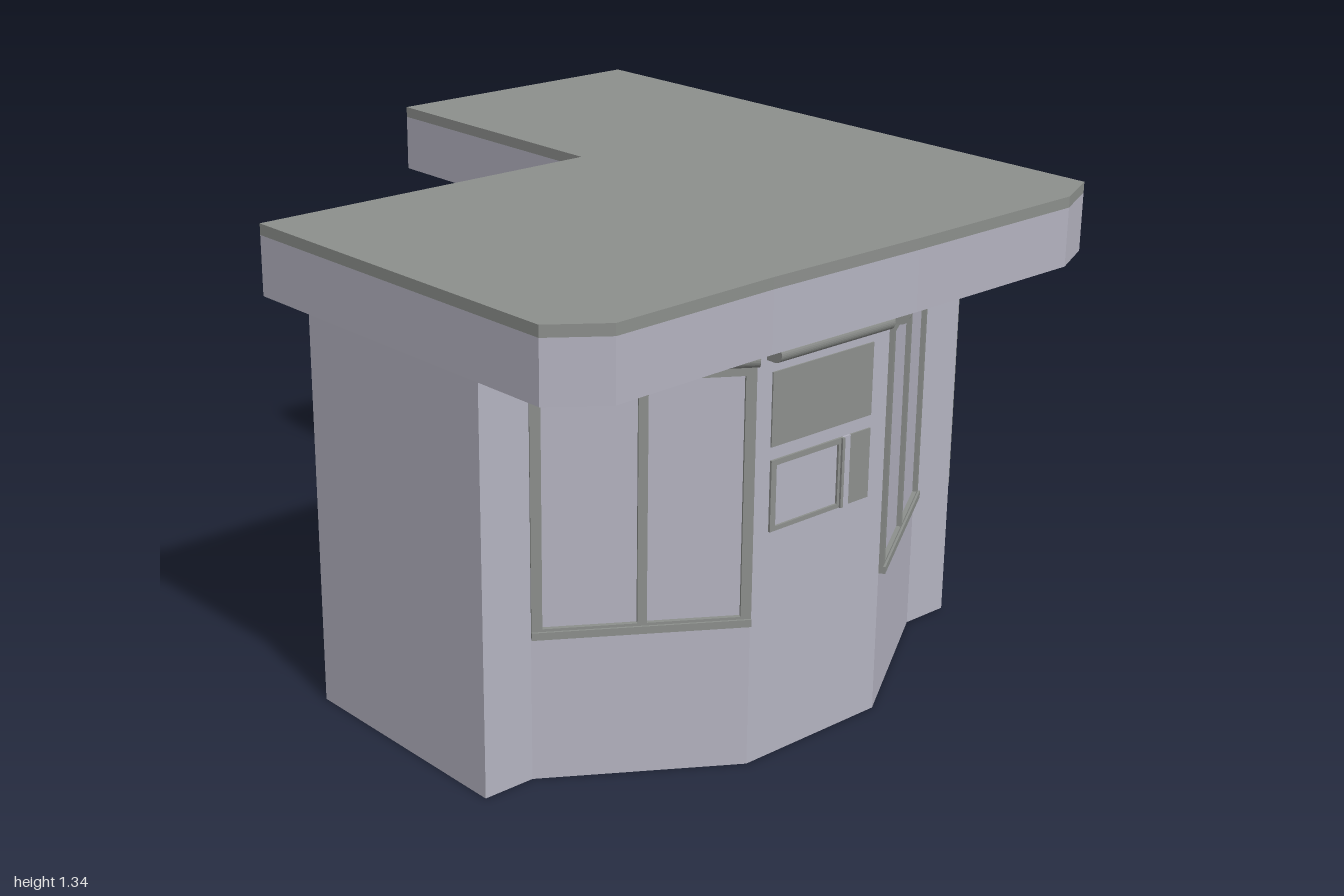
import * as THREE from 'three';

const wallMat = new THREE.MeshStandardMaterial({ color: 0xb4b3c0 });
const trimMat = new THREE.MeshStandardMaterial({ color: 0x8c8f8c });

// Floor plans as [x, z] corners
const BODY = [[-0.85, -0.13], [-0.85, 0.57], [-0.7, 0.57], [-0.235, 0.865], [0.235, 0.865],
  [0.7, 0.57], [0.85, 0.57], [0.85, -0.91], [0.235, -0.91], [0.235, -0.13]];
const ROOF = [[-0.95, -0.18], [-0.935, 0.9], [-0.8, 1], [-0.3, 0.98], [0.2, 0.98], [0.79, 0.97],
  [0.94, 0.9], [0.95, -1], [0.1, -1], [0.1, -0.18]];

function mesh(name, geometry, material, parent) {
  const m = new THREE.Mesh(geometry, material);
  m.name = name;
  parent.add(m);
  return m;
}

// Upright slab over a floor plan
function slab(name, plan, y0, y1, material, parent) {
  const shape = new THREE.Shape(plan.map(([x, z]) => new THREE.Vector2(x, -z)));
  const geo = new THREE.ExtrudeGeometry(shape, { depth: y1 - y0, bevelEnabled: false });
  geo.rotateX(-Math.PI / 2).translate(0, y0, 0);
  return mesh(name, geo, material, parent);
}

function rect(Type, x0, y0, x1, y1) {
  return new Type([[x0, y0], [x1, y0], [x1, y1], [x0, y1]].map(([x, y]) => new THREE.Vector2(x, y)));
}

// Flat frame on the local z = 0 wall plane; each hole is [x0, y0, x1, y1]
function frame(name, outer, holes, depth, parent) {
  const shape = rect(THREE.Shape, ...outer);
  shape.holes = holes.map((h) => rect(THREE.Path, ...h));
  return mesh(name, new THREE.ExtrudeGeometry(shape, { depth, bevelEnabled: false }), trimMat, parent);
}

function panel(name, x0, y0, x1, y1, depth, material, parent) {
  const m = mesh(name, new THREE.BoxGeometry(x1 - x0, y1 - y0, depth), material, parent);
  m.position.set((x0 + x1) / 2, (y0 + y1) / 2, depth / 2);
  return m;
}

// Two-pane window frame
function twoPane(name, width, y0, y1, border, mullion, depth, parent) {
  const w = width / 2, m = mullion / 2;
  return frame(name, [-w, y0, w, y1], [
    [-w + border, y0 + border, -m, y1 - border],
    [m, y0 + border, w - border, y1 - border]], depth, parent);
}

// Rolled shutter housing with a rounded front
function shutter(width, parent) {
  const s = new THREE.Shape();
  s.moveTo(0, 1.13);
  s.lineTo(0, 1.085);
  s.lineTo(0.025, 1.085);
  s.absarc(0.027, 1.1075, 0.0225, -Math.PI / 2, Math.PI / 2, false);
  s.closePath();
  const geo = new THREE.ExtrudeGeometry(s, { depth: width, bevelEnabled: false, curveSegments: 8 });
  geo.rotateY(-Math.PI / 2).translate(width / 2, 0, 0);
  return mesh('shutterHousing', geo, trimMat, parent);
}

// Group whose local x runs along a wall and local z points outward
function wallGroup(name, x, z, angle, parent) {
  const g = new THREE.Group();
  g.name = name;
  g.position.set(x, 0, z);
  g.rotation.y = angle;
  parent.add(g);
  return g;
}

export function createModel() {
  const model = new THREE.Group();
  model.name = 'cornerKiosk';

  // Walls and flat roof
  slab('walls', BODY, 0, 1.15, wallMat, model);
  slab('fascia', ROOF, 1.15, 1.31, wallMat, model);
  slab('roofCap', ROOF, 1.31, 1.34, trimMat, model);

  // Angled bay windows, one on each side of the counter
  const bayLength = Math.hypot(0.465, 0.295);
  const bayAngle = Math.atan2(0.295, 0.465);
  for (const side of [-1, 1]) {
    const bay = wallGroup(side > 0 ? 'leftBayWindow' : 'rightBayWindow',
      side * 0.4675, 0.7175, side * bayAngle, model);
    twoPane('windowFrame', bayLength, 0.395, 1.085, 0.027, 0.024, 0.012, bay);
    panel('windowSill', -bayLength / 2, 0.395, bayLength / 2, 0.415, 0.018, trimMat, bay);
    shutter(bayLength, bay);
  }

  // Serving counter in the middle of the front
  const counter = wallGroup('servingCounter', 0, 0.865, 0, model);
  shutter(0.4, counter);
  panel('upperPanel', -0.18, 0.855, 0.175, 1.05, 0.004, trimMat, counter);
  frame('hatchFrame', [-0.18, 0.63, 0.075, 0.82], [[-0.162, 0.642, 0.058, 0.805]], 0.006, counter);
  panel('hatchEdge', 0.066, 0.63, 0.075, 0.82, 0.012, trimMat, counter);
  panel('hatchPost', 0.075, 0.63, 0.1, 0.82, 0.006, wallMat, counter);
  panel('sidePanel', 0.1, 0.63, 0.175, 0.82, 0.004, trimMat, counter);

  // Long window on the left wall
  const longWindow = wallGroup('longSideWindow', 0.85, -0.12, Math.PI / 2, model);
  twoPane('windowFrame', 1.37, 0.395, 1.05, 0.028, 0.032, 0.008, longWindow);

  return model;
}
